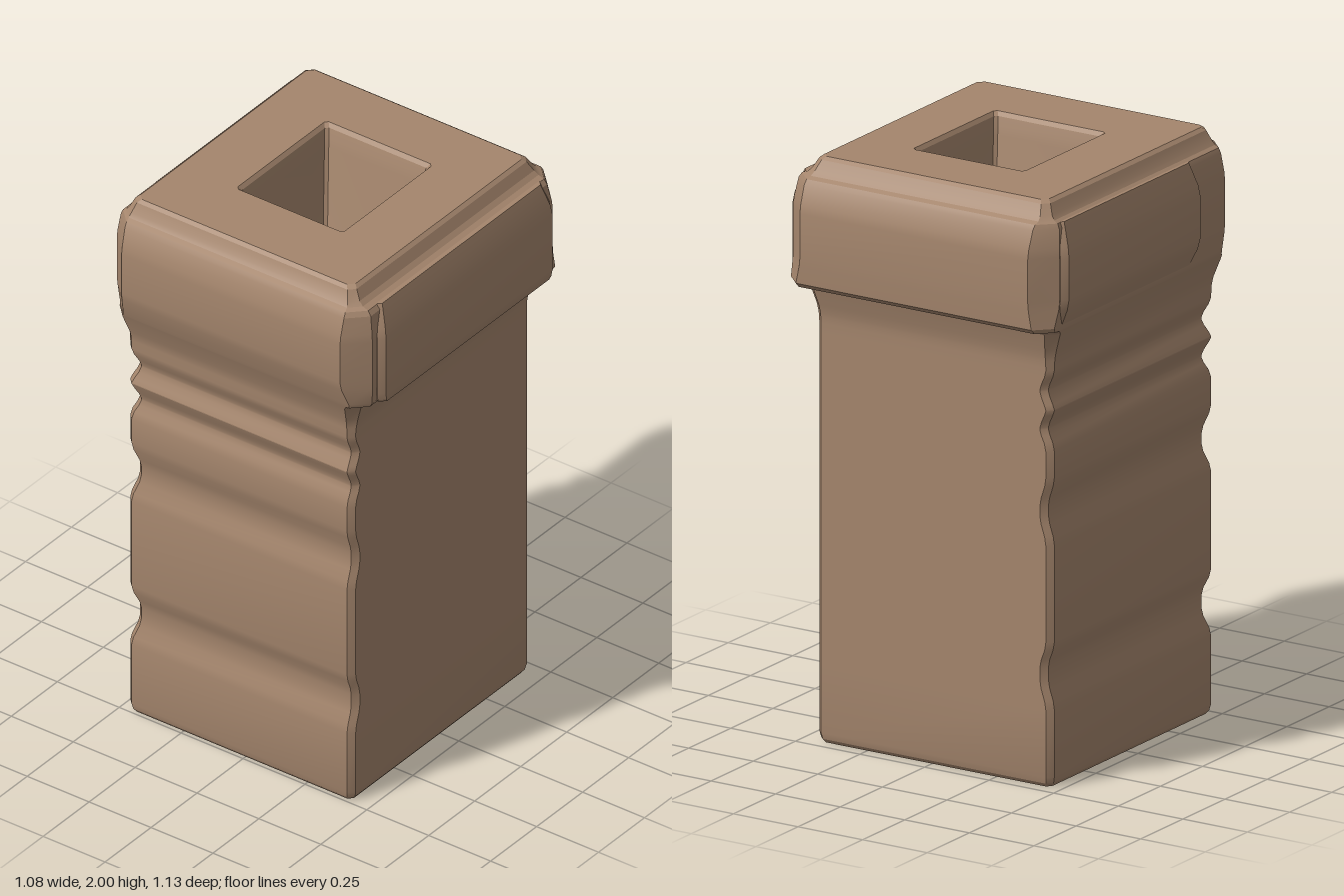
import * as THREE from 'three';
import { toCreasedNormals } from 'three/addons/utils/BufferGeometryUtils.js';

// A level is [y, left x, right x, back z, front z, corner chamfer].
function ring([y, l, r, b, f, c]) {
  return [
    [l + c, y, f], [r - c, y, f], [r, y, f - c], [r, y, b + c],
    [r - c, y, b], [l + c, y, b], [l, y, b + c], [l, y, f - c],
  ];
}

// Replace every bend of the profile by two close levels, so that it looks soft.
function soften(levels, size) {
  const out = [levels[0]];
  const toward = (p, q) => {
    const len = Math.hypot(...p.slice(0, 5).map((v, i) => q[i] - v));
    const t = Math.min(0.35, size / len);
    return p.map((v, i) => v + (q[i] - v) * t);
  };
  for (let i = 1; i < levels.length - 1; i++) {
    out.push(toward(levels[i], levels[i - 1]), toward(levels[i], levels[i + 1]));
  }
  out.push(levels[levels.length - 1]);
  return out;
}

// Skin the levels and close both ends.
function loft(levels, size = 0.02) {
  const rings = soften(levels, size).map(ring);
  const pos = [];
  const tri = (a, b, c) => pos.push(...a, ...b, ...c);
  for (let k = 0; k < rings.length - 1; k++) {
    const lo = rings[k], hi = rings[k + 1];
    for (let i = 0; i < 8; i++) {
      const j = (i + 1) % 8;
      tri(lo[i], lo[j], hi[j]);
      tri(lo[i], hi[j], hi[i]);
    }
  }
  const first = rings[0], last = rings[rings.length - 1];
  for (let i = 1; i < 7; i++) {
    tri(first[0], first[i + 1], first[i]);
    tri(last[0], last[i], last[i + 1]);
  }
  const geo = new THREE.BufferGeometry();
  geo.setAttribute('position', new THREE.Float32BufferAttribute(pos, 3));
  return toCreasedNormals(geo, 0.3);
}

export function createModel() {
  const group = new THREE.Group();
  const clay = new THREE.MeshStandardMaterial({ color: 0xa5866d });
  clay.name = 'clay brown';

  const add = (name, levels, size) => {
    const mesh = new THREE.Mesh(loft(levels, size), clay);
    mesh.name = name;
    group.add(mesh);
  };

  // Shaft: grooves run across the front and the -x side only.
  const shaft = (y, groove = 0) => [y, -0.47 + groove, 0.44, -0.47, 0.5 - groove, 0.02];
  const grooves = [
    [0.28, 0.35, 0.42, 0.48],
    [0.84, 0.91, 0.97, 1.04],
    [1.16, 1.21, 1.23, 1.28],
    [1.29, 1.34, 1.36, 1.41],
  ];
  const levels = [[0, -0.455, 0.425, -0.455, 0.485, 0.015], shaft(0.02)];
  for (const [a, b, c, d] of grooves) {
    levels.push(shaft(a), shaft(b, 0.023), shaft(c, 0.023), shaft(d));
  }
  levels.push(
    shaft(1.44),
    // Flare, then the ledge below the cap on the plain sides
    [1.48, -0.475, 0.445, -0.475, 0.503, 0.025],
    [1.565, -0.503, 0.475, -0.5, 0.535, 0.04],
    [1.57, -0.505, 0.512, -0.56, 0.537, 0.05],
    // Cap and its stepped top
    [1.66, -0.517, 0.515, -0.565, 0.565, 0.075],
    [1.84, -0.517, 0.515, -0.565, 0.565, 0.075],
    [1.93, -0.505, 0.5, -0.535, 0.54, 0.06],
    [1.945, -0.48, 0.46, -0.505, 0.51, 0.03],
    [2.0, -0.453, 0.43, -0.47, 0.485, 0.02],
    // Tapered square hole
    [2.0, -0.212, 0.205, -0.24, 0.235, 0.01],
    [1.94, -0.2, 0.195, -0.222, 0.218, 0.01],
    [1.6, -0.162, 0.168, -0.163, 0.163, 0.01],
    [1.598, -0.155, 0.16, -0.156, 0.156, 0.01],
  );
  add('pillarBody', levels, 0.015);

  // Raised panels on the two x sides of the cap
  add('rightCapPanel', [
    [1.57, -0.5, -0.4, -0.48, 0.31, 0.02],
    [1.66, -0.54, -0.4, -0.49, 0.33, 0.02],
    [1.84, -0.54, -0.4, -0.49, 0.33, 0.02],
    [1.935, -0.508, -0.4, -0.47, 0.31, 0.02],
  ]);
  add('leftCapPanel', [
    [1.57, 0.4, 0.53, -0.47, 0.45, 0.02],
    [1.59, 0.4, 0.537, -0.48, 0.465, 0.02],
    [1.84, 0.4, 0.537, -0.48, 0.465, 0.02],
    [1.935, 0.4, 0.503, -0.46, 0.44, 0.02],
  ]);

  return group;
}
